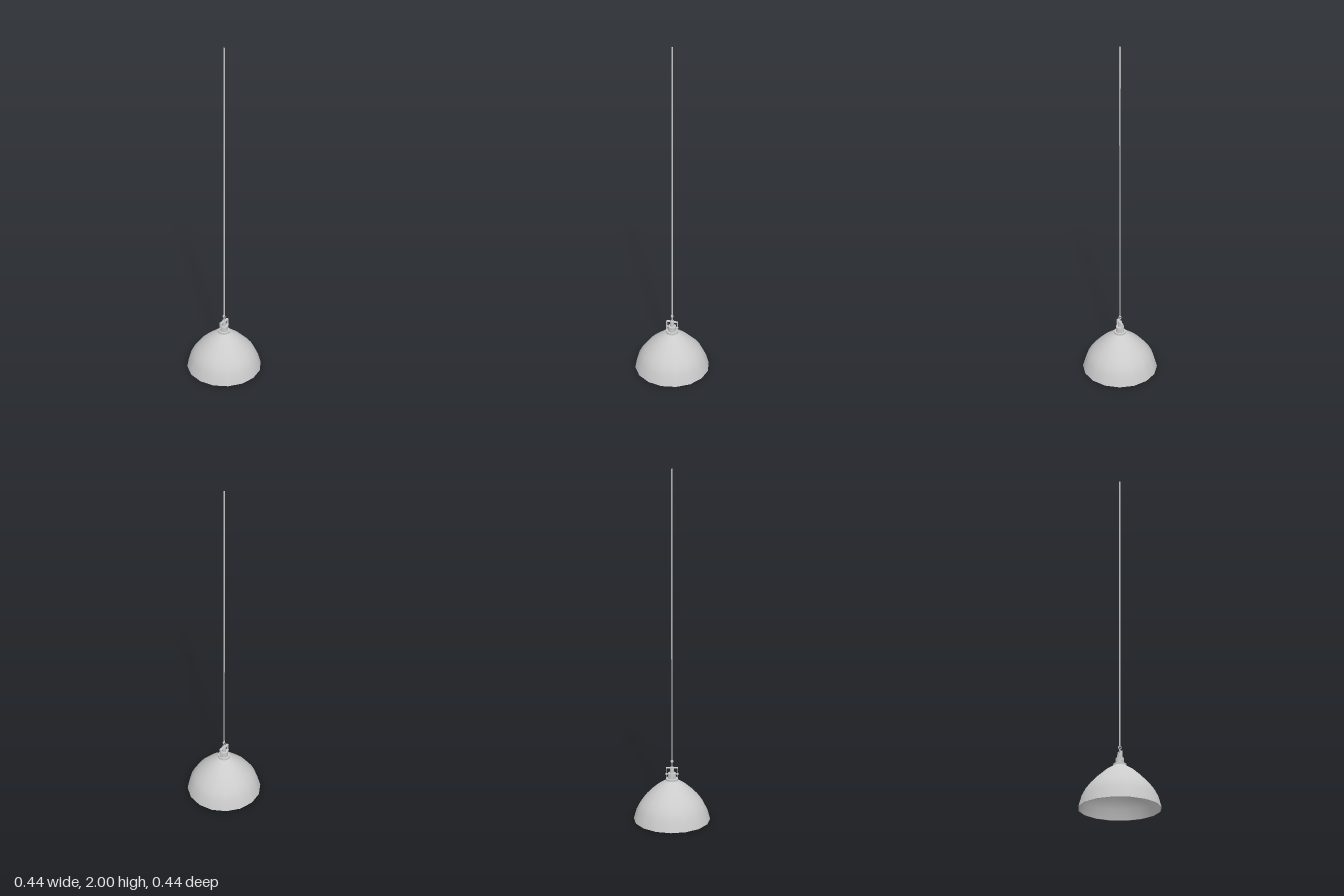
import * as THREE from 'three';

const material = new THREE.MeshStandardMaterial({ color: 0xcccccc, side: THREE.DoubleSide });

export function createModel() {
  const lamp = new THREE.Group();
  lamp.name = 'pendantLamp';

  const add = (name, geometry, x = 0, y = 0, z = 0, parent = lamp) => {
    const mesh = new THREE.Mesh(geometry, material);
    mesh.name = name;
    mesh.position.set(x, y, z);
    parent.add(mesh);
    return mesh;
  };
  const lathe = (points, sides) =>
    new THREE.LatheGeometry(points.map(([r, y]) => new THREE.Vector2(r, y)), sides);
  const rod = (name, radius, bottom, top, sides = 16) =>
    add(name, new THREE.CylinderGeometry(radius, radius, top - bottom, sides), 0, (top + bottom) / 2);

  // Sixteen-sided dome: outer wall, inner wall and the flat rim between them
  const outer = [[0.22, 0], [0.203, 0.06], [0.182, 0.1], [0.155, 0.135], [0.118, 0.173], [0.075, 0.21], [0.03, 0.238]];
  const inner = outer.map(([r, y]) => [r - 0.005, y === 0 ? 0 : y - 0.004]);
  add('shade', lathe(outer, 16));
  add('shadeLining', lathe(inner.reverse(), 16));
  add('shadeRim', lathe([[0.215, 0], [0.22, 0]], 16));

  // Stepped fitting above the shade
  rod('collar', 0.035, 0.232, 0.246, 24);
  rod('socketCap', 0.023, 0.246, 0.278, 24);
  rod('neck', 0.011, 0.278, 0.312);

  // Inverted U-shaped strap with a screw on each side
  const bracket = new THREE.Group();
  bracket.name = 'bracket';
  lamp.add(bracket);
  add('bracketTop', new THREE.BoxGeometry(0.014, 0.004, 0.068), 0, 0.308, 0, bracket);
  for (const side of [-1, 1]) {
    add('bracketArm', new THREE.BoxGeometry(0.014, 0.054, 0.003), 0, 0.281, side * 0.0325, bracket);
    const screw = add('screw', new THREE.CylinderGeometry(0.006, 0.006, 0.012, 12), 0, 0.27, side * 0.031, bracket);
    screw.rotation.x = Math.PI / 2;
  }
  const pin = add('crossPin', new THREE.CylinderGeometry(0.003, 0.003, 0.062, 8), 0, 0.27, 0, bracket);
  pin.rotation.x = Math.PI / 2;

  // Hanging loop and the two linked eyes
  rod('loopStem', 0.004, 0.31, 0.33, 10);
  add('hangingLoop', new THREE.TorusGeometry(0.008, 0.0025, 8, 16), 0, 0.338);
  add('cordEye', new THREE.TorusGeometry(0.006, 0.0025, 8, 16), 0, 0.347).rotation.y = Math.PI / 2;

  // Long cord
  rod('cord', 0.004, 0.35, 2, 10);

  // Bulb holder and bulb inside the shade
  rod('bulbHolder', 0.018, 0.175, 0.234);
  add('bulb', lathe([[0, 0.088], [0.012, 0.09], [0.022, 0.097], [0.029, 0.109], [0.03, 0.12],
    [0.027, 0.134], [0.02, 0.15], [0.015, 0.164], [0.014, 0.178]], 20));

  return lamp;
}
